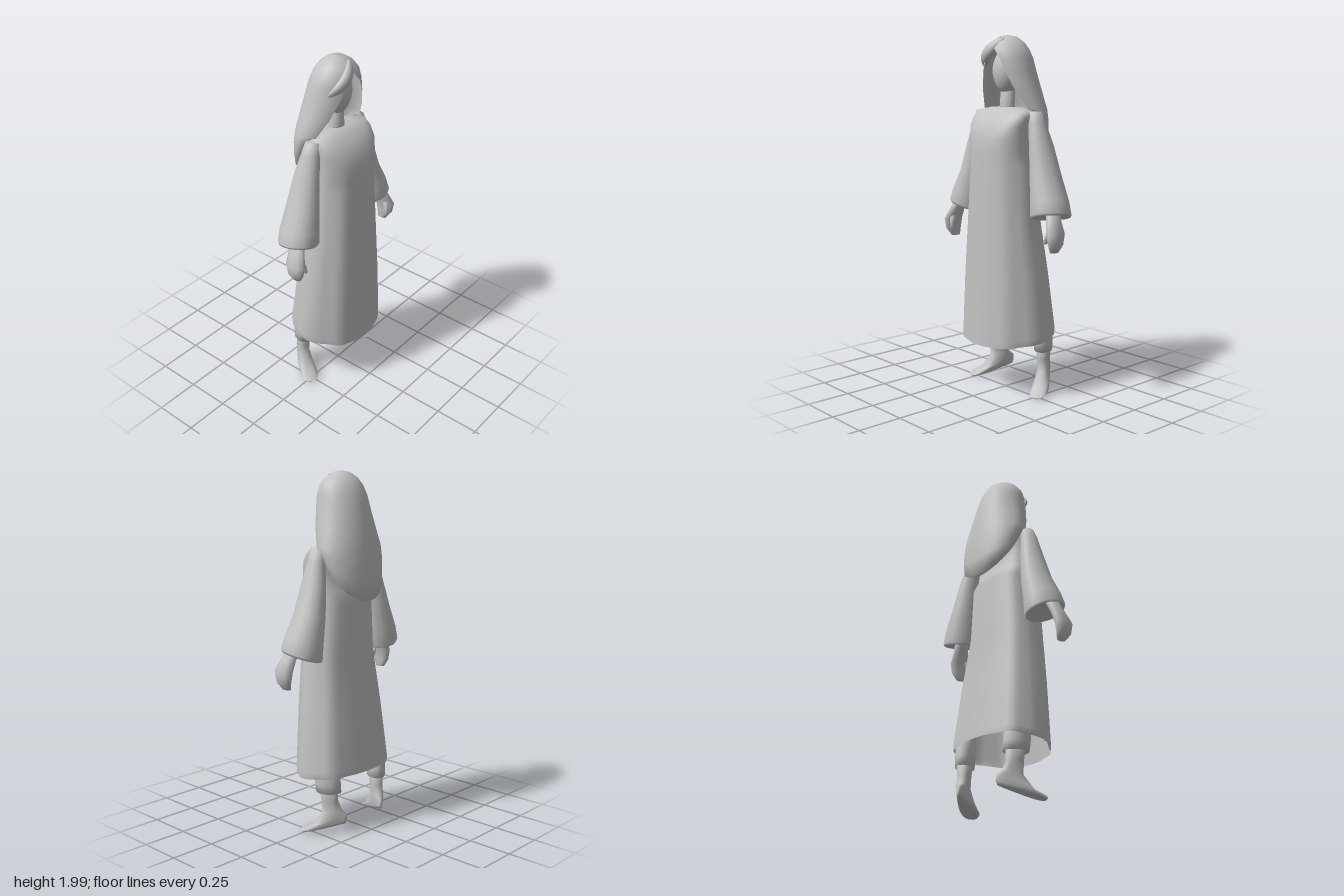
import * as THREE from 'three';

const grey = new THREE.MeshStandardMaterial({ color: 0xc2c2c2, side: THREE.DoubleSide });
grey.name = 'plain grey';

// Skin a grid of points: rows[i][j] is an [x, y, z] point
function skin(rows, closed, capStart, capEnd) {
  const n = rows[0].length, pos = rows.flat(2), idx = [];
  const cols = closed ? n : n - 1;
  for (let i = 0; i < rows.length - 1; i++) {
    for (let j = 0; j < cols; j++) {
      const a = i * n + j, b = i * n + (j + 1) % n, c = a + n, d = b + n;
      idx.push(a, c, b, b, c, d);
    }
  }
  const cap = (i, flip) => {
    const centre = [0, 1, 2].map(k => rows[i].reduce((t, p) => t + p[k] / n, 0));
    const m = pos.length / 3;
    pos.push(...centre);
    for (let j = 0; j < n; j++) {
      const a = i * n + j, b = i * n + (j + 1) % n;
      idx.push(...(flip ? [m, b, a] : [m, a, b]));
    }
  };
  if (capStart) cap(0, false);
  if (capEnd) cap(rows.length - 1, true);
  const g = new THREE.BufferGeometry();
  g.setAttribute('position', new THREE.Float32BufferAttribute(pos, 3));
  g.setIndex(idx);
  g.computeVertexNormals();
  return g;
}

// Bottom-to-top oval rings: [cx, cy, cz, rx, rz, slopeX, slopeZ]
function loft(rings, { n = 16, power = 2, start = true, end = true, warp } = {}) {
  const round = v => Math.sign(v) * Math.abs(v) ** (2 / power);
  const rows = rings.map(([cx, cy, cz, rx, rz, sx = 0, sz = 0], i) =>
    Array.from({ length: n }, (_, j) => {
      const a = j / n * Math.PI * 2;
      let dx = rx * round(Math.cos(a)), dz = rz * round(Math.sin(a));
      if (warp) [dx, dz] = warp(dx, dz, a, i);
      return [cx + dx, cy + sx * dx + sz * dz, cz + dz];
    }));
  return skin(rows, true, start, end);
}

// Arm rings for one side, moved forward by shift
const armRings = (rings, s, shift) =>
  rings.map(([cx, cy, cz, rx, rz, sx = 0, sz = 0]) => [cx * s, cy, cz + shift, rx, rz, sx * s, sz]);

// Long head covering: crown to shoulders, open at the face, dropping to a rounded tip behind
function hoodGeometry() {
  // y, half width, front z, back z, half angle of the opening, share of the drop
  const levels = [
    [2.0, 0.002, -0.008, -0.012, 0], [1.99, 0.05, 0.035, -0.06, 0], [1.96, 0.095, 0.075, -0.1, 0.02],
    [1.92, 0.128, 0.098, -0.125, 0.12], [1.87, 0.146, 0.108, -0.147, 0.4], [1.8, 0.158, 0.11, -0.167, 0.6],
    [1.7, 0.185, 0.095, -0.188, 0.8], [1.6, 0.212, 0.06, -0.204, 1.0],
    [1.5, 0.213, 0.055, -0.217, 1.0, 0.34], [1.4, 0.206, 0.05, -0.224, 1.0, 0.68],
    [1.31, 0.196, 0.045, -0.22, 1.0, 1], [1.315, 0.175, 0.035, -0.178, 1.0, 0.97],
  ];
  const cols = 40, c = Math.cos(1);
  const rows = levels.map(([y, rx, zf, zb, open, drop = 0]) =>
    Array.from({ length: cols + 1 }, (_, j) => {
      const phi = (j / cols * 2 - 1) * (Math.PI - open);
      const fall = (Math.cos(phi) + c) / (1 + c);
      return [rx * Math.sin(phi), drop ? 1.6 - 0.29 * drop * fall : y,
        (zf + zb) / 2 - (zf - zb) / 2 * Math.cos(phi)];
    }));
  return skin(rows, false);
}

export function createModel() {
  const model = new THREE.Group();
  const add = (name, geometry, parent = model) => {
    const mesh = new THREE.Mesh(geometry, grey);
    mesh.name = name;
    parent.add(mesh);
    return mesh;
  };

  // Robe, hollow at the hem, with soft folds fading upward and a recessed upper back
  add('robe', loft([
    [0, 0.322, 0, 0.28, 0.208, 0, -0.12], [0, 0.36, 0, 0.287, 0.206, 0, -0.1],
    [0, 0.7, 0.013, 0.257, 0.182], [0, 1.0, 0.027, 0.222, 0.157],
    [0, 1.3, 0.023, 0.2, 0.152], [0, 1.36, 0.04, 0.196, 0.133], [0, 1.44, 0.045, 0.195, 0.125],
    [0, 1.51, 0.038, 0.197, 0.11], [0, 1.56, 0.016, 0.203, 0.096],
    [0, 1.592, 0, 0.195, 0.075], [0, 1.61, -0.005, 0.1, 0.05],
  ], {
    n: 48, power: 2.8, start: false,
    warp: (dx, dz, a, i) => {
      const fold = 1 + Math.max(0, 0.022 - i * 0.004) * Math.cos(8 * a);
      const narrow = i < 7 ? 1 - 1.4 * Math.max(0, dz - 0.02) : 1;
      return [dx * fold * narrow, dz * fold];
    },
  }));

  // Head, neck and covering
  const head = new THREE.SphereGeometry(1, 28, 20);
  head.scale(0.09, 0.125, 0.078);
  const hp = head.attributes.position;
  for (let i = 0; i < hp.count; i++) {
    if (hp.getY(i) < 0) hp.setX(i, hp.getX(i) * (1 + hp.getY(i) * 1.5));
  }
  head.computeVertexNormals();
  add('head', head).position.set(0, 1.803, -0.012);
  add('neck', loft([
    [0, 1.57, -0.01, 0.055, 0.045], [0, 1.62, -0.01, 0.044, 0.038], [0, 1.73, -0.015, 0.04, 0.038],
  ]));
  add('hood', hoodGeometry());

  // Swept lock bent around the brow
  const lock = new THREE.SphereGeometry(1, 24, 14);
  lock.scale(0.112, 0.034, 0.026);
  const lp = lock.attributes.position;
  for (let i = 0; i < lp.count; i++) lp.setZ(i, lp.getZ(i) - 3.4 * lp.getX(i) ** 2);
  lock.computeVertexNormals();
  lock.rotateZ(0.74);
  add('browLock', lock).position.set(-0.047, 1.905, 0.087);

  for (const [side, s, shift] of [['left', 1, -0.006], ['right', -1, 0.02]]) {
    // Wide sleeve with a turned-in cuff, lower at the back
    add(side + 'Sleeve', loft(armRings([
      [0.335, 1.07, -0.02, 0.07, 0.08, 0.2, 0.15], [0.328, 1.025, -0.025, 0.1, 0.108, 0.24, 0.17],
      [0.325, 1.037, -0.025, 0.108, 0.115, 0.24, 0.17], [0.312, 1.11, -0.028, 0.099, 0.11, 0.2, 0.1],
      [0.275, 1.24, -0.033, 0.08, 0.093, 0.1], [0.243, 1.4, -0.033, 0.06, 0.074],
      [0.213, 1.53, -0.026, 0.047, 0.05], [0.195, 1.588, -0.026, 0.042, 0.038],
    ], s, shift), { n: 20 }));

    // Hand and thumb
    add(side + 'Hand', loft(armRings([
      [0.397, 0.85, 0.02, 0.016, 0.028], [0.412, 0.89, 0.025, 0.028, 0.05],
      [0.412, 0.95, 0.026, 0.034, 0.062], [0.387, 1.01, 0.015, 0.033, 0.05],
      [0.355, 1.09, -0.005, 0.034, 0.04],
    ], s, shift), { n: 10 }));
    add(side + 'Thumb', loft(armRings([
      [0.374, 0.9, 0.065, 0.008, 0.01], [0.38, 0.935, 0.06, 0.014, 0.016],
      [0.392, 0.985, 0.04, 0.015, 0.02],
    ], s, shift), { n: 8 }));

    // Turned-out leg with a broad, blunt forefoot, heel slightly raised
    const leg = new THREE.Group();
    leg.name = side + 'Leg';
    leg.position.set(s * 0.195, 0, -0.11);
    leg.rotation.y = s * 0.55;
    model.add(leg);
    add('foot', loft([
      [0, 0.042, 0.035, 0.036, 0.125, 0, -0.26], [0, 0.056, 0.035, 0.043, 0.133, 0, -0.28],
      [0, 0.088, 0.005, 0.039, 0.1, 0, -0.4], [0, 0.14, -0.012, 0.034, 0.055, 0, -0.2],
      [0, 0.2, 0, 0.035, 0.046], [0, 0.28, 0.005, 0.042, 0.052],
    ], {
      n: 20, power: 2.4,
      warp: (dx, dz, a, i) => [dx * (i < 3 ? 1 + dz * 4.5 : 1), dz],
    }), leg);
    add('trouserCuff', loft([
      [0, 0.27, 0.005, 0.036, 0.045], [0, 0.25, 0.005, 0.05, 0.07], [0, 0.3, 0.01, 0.053, 0.072],
      [0, 0.43, 0.02, 0.053, 0.068],
    ], { n: 14 }), leg);
  }
  return model;
}
